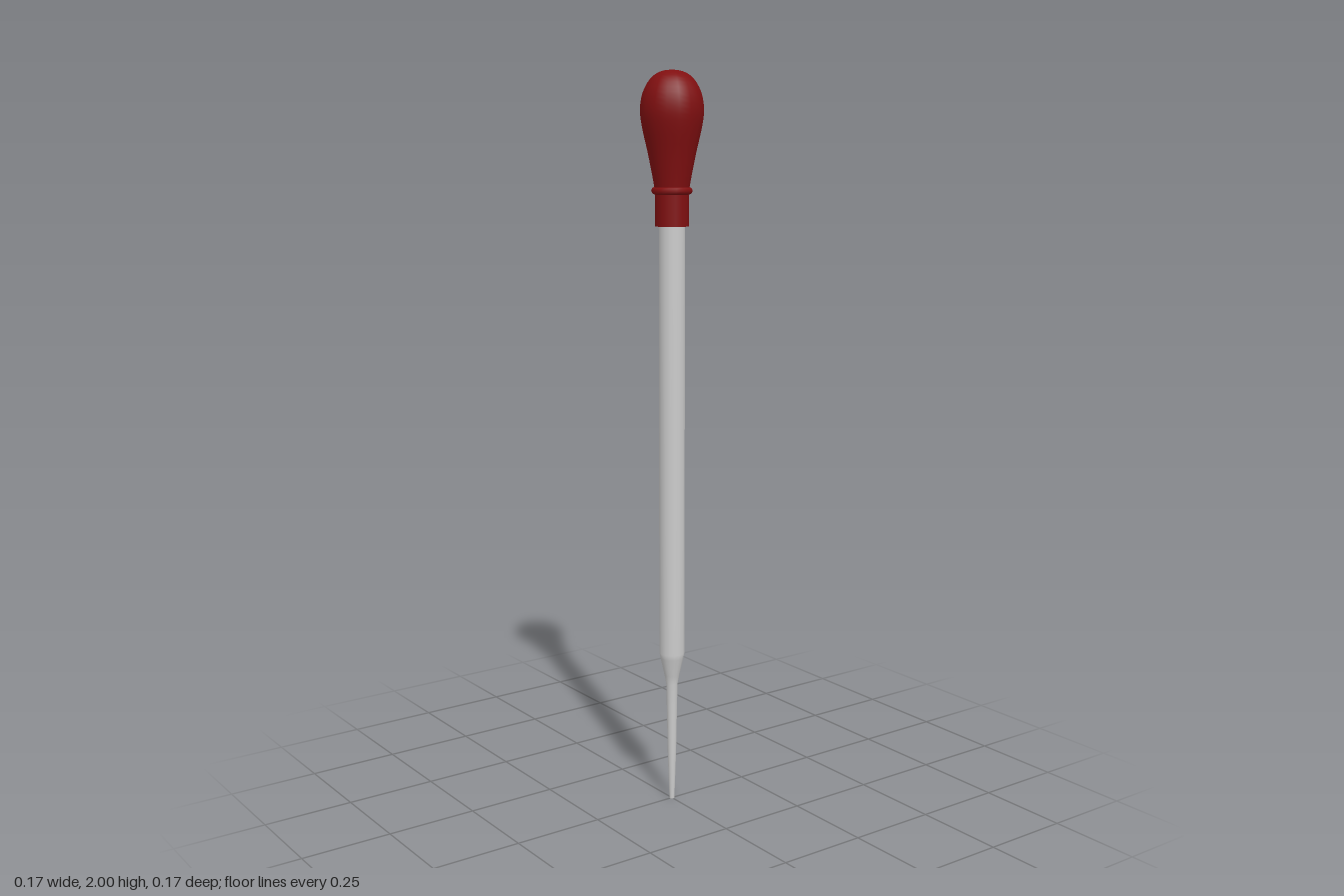
import * as THREE from 'three';

const SIDES = 16;

function lathe(name, points, material) {
  const profile = points.map(([r, y]) => new THREE.Vector2(r, y));
  const mesh = new THREE.Mesh(new THREE.LatheGeometry(profile, SIDES), material);
  mesh.name = name;
  return mesh;
}

export function createModel() {
  const glass = new THREE.MeshStandardMaterial({ color: 0xcccccc, side: THREE.DoubleSide });
  const rubber = new THREE.MeshStandardMaterial({ color: 0x800f10, side: THREE.DoubleSide });
  const model = new THREE.Group();
  model.name = 'dropper';

  // Straight glass barrel, shoulder and long drawn-out tip, open at the bottom
  model.add(lathe('glassTube', [
    [0.007, 0], [0.009, 0.05], [0.012, 0.14], [0.014, 0.25], [0.016, 0.34],
    [0.021, 0.365], [0.032, 0.415], [0.035, 0.43], [0.035, 0.8], [0.035, 1.2], [0.035, 1.64],
  ], glass));

  // Rubber collar gripping the tube
  model.add(lathe('collar', [[0.045, 1.6], [0.045, 1.69]], rubber));
  model.add(lathe('collarRim', [[0.034, 1.6], [0.045, 1.6]], rubber));

  // Rolled bead between collar and bulb
  const bead = new THREE.Mesh(new THREE.TorusGeometry(0.045, 0.01, 8, SIDES), rubber);
  bead.name = 'bead';
  bead.rotation.x = Math.PI / 2;
  bead.position.y = 1.692;
  model.add(bead);

  // Pear-shaped squeeze bulb
  const bulbCurve = new THREE.SplineCurve([
    [0.045, 1.69], [0.051, 1.725], [0.064, 1.79], [0.079, 1.855], [0.084, 1.9],
    [0.077, 1.942], [0.057, 1.977], [0.03, 1.995], [0, 2],
  ].map(([r, y]) => new THREE.Vector2(r, y)));
  const bulb = bulbCurve.getPoints(24).map((p) => [Math.max(p.x, 0), Math.min(p.y, 2)]);
  model.add(lathe('bulb', bulb, rubber));

  return model;
}
